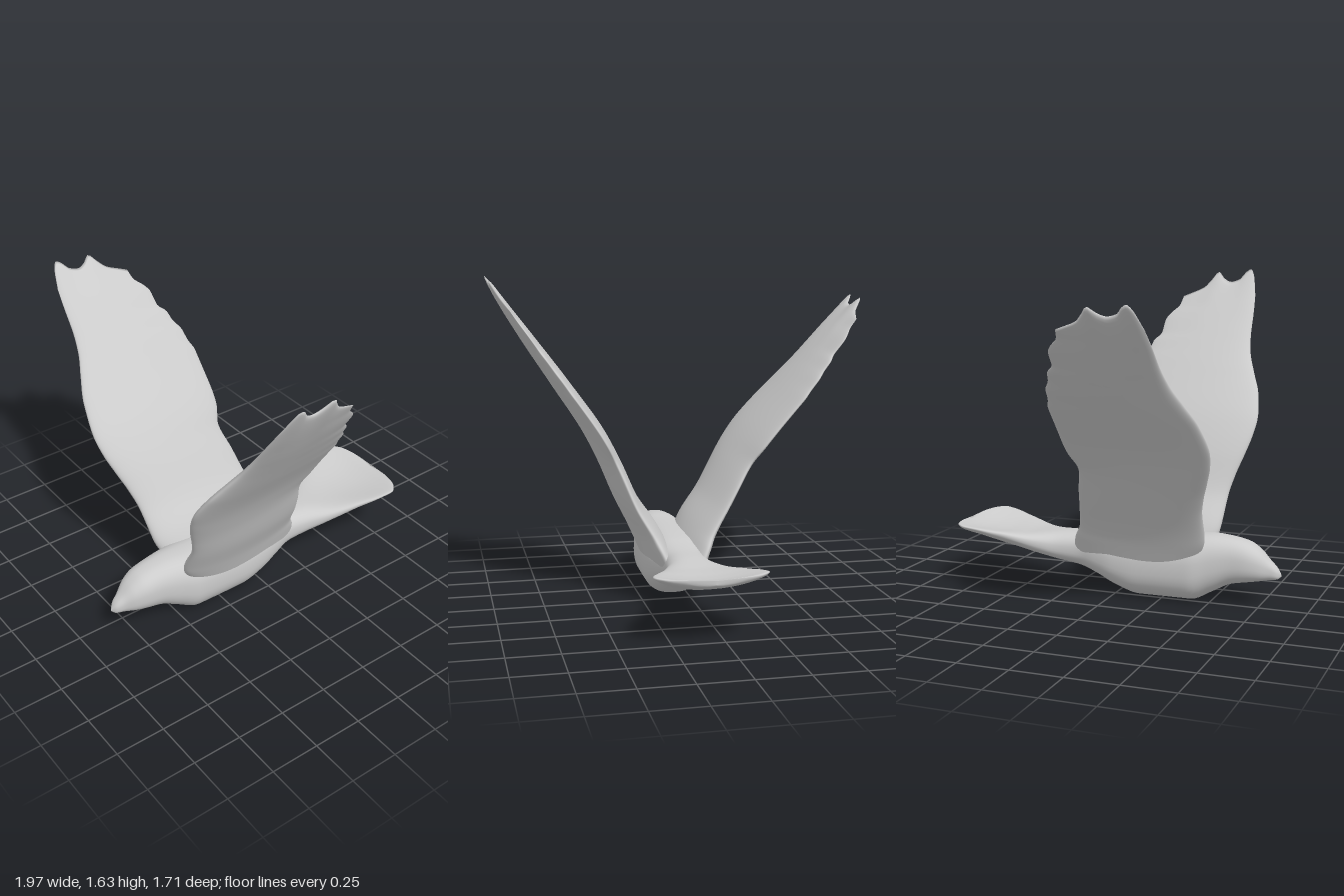
import * as THREE from 'three';
import { mergeVertices } from 'three/addons/utils/BufferGeometryUtils.js';

// Smooth interpolation through rows of [key, value, value, ...], keys rising
function sample(rows, k) {
  let i = 0;
  while (i < rows.length - 2 && k > rows[i + 1][0]) i++;
  const a = rows[i], b = rows[i + 1], d = b[0] - a[0];
  const t = THREE.MathUtils.clamp((k - a[0]) / d, 0, 1);
  const slope = (n, c) => (rows[n + 1][c] - rows[n][c]) / (rows[n + 1][0] - rows[n][0]);
  const tangent = (n, c) => {
    if (n === 0) return slope(0, c);
    if (n === rows.length - 1) return slope(n - 1, c);
    const p = slope(n - 1, c), q = slope(n, c);
    return p * q <= 0 ? 0 : (2 * p * q) / (p + q);
  };
  return a.slice(1).map((_, j) => {
    const c = j + 1, t2 = t * t, t3 = t2 * t;
    return a[c] * (2 * t3 - 3 * t2 + 1) + b[c] * (3 * t2 - 2 * t3)
      + d * (tangent(i, c) * (t3 - 2 * t2 + t) + tangent(i + 1, c) * (t3 - t2));
  });
}

// Closed skin from rings: fn(u, angle) -> [x, y, z]
function skin(name, nu, na, fn) {
  const pos = [], index = [];
  for (let i = 0; i <= nu; i++)
    for (let j = 0; j < na; j++) pos.push(...fn(i / nu, (j / na) * Math.PI * 2));
  for (let i = 0; i < nu; i++)
    for (let j = 0; j < na; j++) {
      const a = i * na + j, b = i * na + (j + 1) % na;
      index.push(a, b, a + na, b, b + na, a + na);
    }
  let g = new THREE.BufferGeometry();
  g.setAttribute('position', new THREE.Float32BufferAttribute(pos, 3));
  g.setIndex(index);
  g = mergeVertices(g, 1e-5);
  g.computeVertexNormals();
  const mesh = new THREE.Mesh(g, new THREE.MeshStandardMaterial({ color: 0xcccccc }));
  mesh.name = name;
  return mesh;
}

// Body from tail to beak: z, bottom, top, half width, upward curl of the sides
const BODY = [
  [-0.855, 0.305, 0.315, 0.0, 0.015], [-0.845, 0.295, 0.322, 0.14, 0.02],
  [-0.82, 0.283, 0.318, 0.225, 0.03], [-0.77, 0.265, 0.305, 0.268, 0.045],
  [-0.7, 0.245, 0.292, 0.257, 0.05], [-0.6, 0.215, 0.285, 0.222, 0.045],
  [-0.5, 0.19, 0.285, 0.187, 0.03], [-0.4, 0.165, 0.292, 0.15, 0.012],
  [-0.3, 0.143, 0.3, 0.118, 0], [-0.2, 0.125, 0.303, 0.108, 0],
  [-0.1, 0.09, 0.312, 0.13, 0], [0, 0.043, 0.325, 0.15, 0],
  [0.13, 0.005, 0.333, 0.157, 0], [0.4, 0.005, 0.34, 0.153, 0],
  [0.5, 0.05, 0.345, 0.13, 0], [0.6, 0.1, 0.337, 0.108, 0],
  [0.68, 0.115, 0.32, 0.096, 0], [0.74, 0.125, 0.285, 0.076, 0],
  [0.79, 0.135, 0.235, 0.046, 0], [0.83, 0.14, 0.196, 0.026, 0],
  [0.85, 0.155, 0.165, 0, 0],
];
const CENTRE_X = 0.07;

function bodyPoint(u, a) {
  const z = -0.855 + 1.705 * (1 - Math.cos(u * Math.PI)) / 2;
  const [bottom, top, half, curl] = sample(BODY, z);
  const round = (s) => Math.sign(s) * Math.abs(s) ** 0.82;
  const c = round(Math.cos(a)), s = round(Math.sin(a));
  const y = (bottom + top) / 2 + s * (top - bottom) / 2 + curl * c * c;
  return [CENTRE_X + half * c, Math.max(0, y), z];
}

// Wing centre lines seen from the front: span key, x, y
const LEFT = [
  [0.2, 0.14, 0.2], [0.35, 0.21, 0.35], [0.5, 0.295, 0.5], [0.7, 0.378, 0.7], [0.85, 0.455, 0.85],
  [1.08, 0.61, 1.08], [1.36, 0.805, 1.36], [1.54, 0.925, 1.54], [1.64, 0.985, 1.64],
];
const RIGHT = [
  [0.2, 0, 0.2], [0.35, -0.075, 0.35], [0.5, -0.165, 0.49], [0.7, -0.28, 0.675], [0.85, -0.375, 0.81],
  [1.08, -0.585, 1.055], [1.36, -0.8, 1.305], [1.54, -0.93, 1.455], [1.64, -0.99, 1.53],
];
// Leading edge and half thickness: span key, z, thickness
const LEADING = [
  [0.2, 0.43, 0.09], [0.34, 0.495, 0.08], [0.5, 0.51, 0.064], [0.6, 0.535, 0.062], [0.7, 0.57, 0.061],
  [0.8, 0.6, 0.059], [0.88, 0.612, 0.057], [1, 0.592, 0.053], [1.1, 0.55, 0.05], [1.2, 0.51, 0.046],
  [1.3, 0.492, 0.042], [1.4, 0.486, 0.037], [1.52, 0.475, 0.031], [1.64, 0.465, 0.026],
];
// Scalloped trailing edge: span key, z
const TRAILING = [
  [0.2, -0.23], [0.3, -0.2], [0.36, -0.165], [0.5, -0.13], [0.6, -0.11], [0.73, -0.08], [0.83, -0.113],
  [0.9, -0.12], [1.05, -0.12], [1.1, -0.102], [1.15, -0.095], [1.2, -0.065], [1.25, -0.052], [1.29, -0.015],
  [1.36, -0.01], [1.4, 0.015], [1.44, 0.055], [1.5, 0.07], [1.54, 0.09], [1.64, 0.1],
];
// Feathered tip: place along the chord, span key where the wing ends
const TIP = [
  [0, 1.5], [0.05, 1.61], [0.1, 1.64], [0.17, 1.625], [0.26, 1.585], [0.39, 1.57], [0.5, 1.59],
  [0.6, 1.625], [0.68, 1.585], [0.77, 1.54], [0.9, 1.51], [1, 1.49],
];

function wingPoint(path, u, a) {
  const v = (1 - Math.cos(a)) / 2;
  const k = 0.2 + (sample(TIP, v)[0] - 0.2) * u;
  const [x, y] = sample(path, k);
  const [front, thick] = sample(LEADING, k);
  const [back] = sample(TRAILING, k);
  // direction across the wing surface
  const p = sample(path, Math.max(0.2, k - 0.04)), q = sample(path, Math.min(1.64, k + 0.04));
  const tx = q[0] - p[0], ty = q[1] - p[1], len = Math.hypot(tx, ty);
  const h = thick * Math.sin(a) * (1 - 0.4 * v) * Math.sqrt(Math.max(0, 1 - u ** 10));
  return [x + h * ty / len, y - h * tx / len, front + (back - front) * v];
}

export function createModel() {
  const bird = new THREE.Group();
  bird.name = 'bird';
  bird.add(
    skin('bodyAndTail', 110, 48, bodyPoint),
    skin('leftWing', 90, 72, (u, a) => wingPoint(LEFT, u, a)),
    skin('rightWing', 90, 72, (u, a) => wingPoint(RIGHT, u, a)),
  );
  return bird;
}
